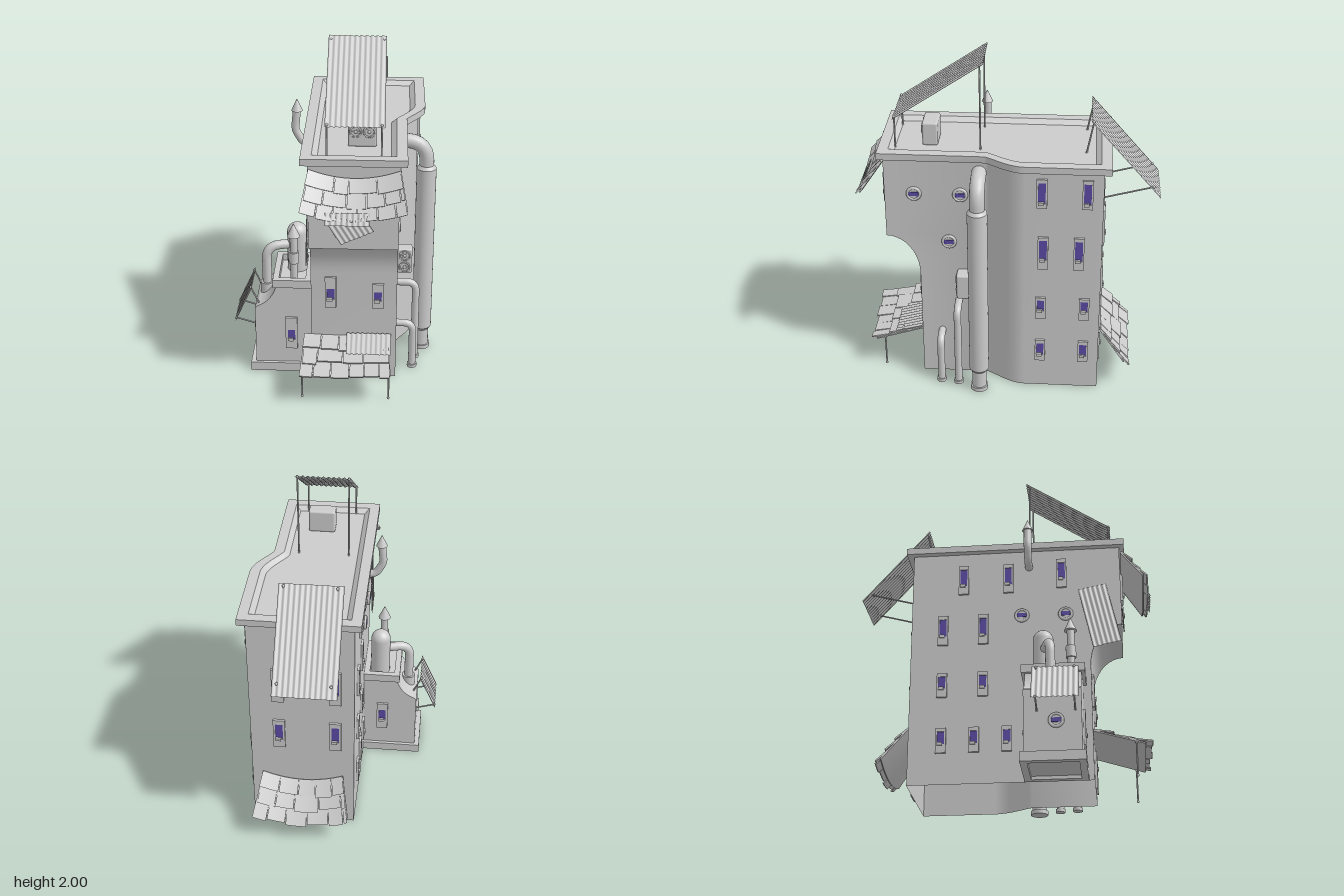
import * as THREE from 'three';
import { toCreasedNormals } from 'three/addons/utils/BufferGeometryUtils.js';
import { RoundedBoxGeometry } from 'three/addons/geometries/RoundedBoxGeometry.js';

const grey = new THREE.MeshStandardMaterial({ color: 0xcccccc });
const thin = new THREE.MeshStandardMaterial({ color: 0xcccccc, side: THREE.DoubleSide });
const glass = new THREE.MeshStandardMaterial({ color: 0x5b4aa5 });
const V = (x, y, z) => new THREE.Vector3(x, y, z);
const lerp = THREE.MathUtils.lerp;

function add(parent, name, geo, mat = grey, x = 0, y = 0, z = 0) {
  const m = new THREE.Mesh(geo, mat);
  m.name = name;
  m.position.set(x, y, z);
  parent.add(m);
  return m;
}
function group(parent, name, x = 0, y = 0, z = 0, ry = 0) {
  const g = new THREE.Group();
  g.name = name;
  g.position.set(x, y, z);
  g.rotation.y = ry;
  parent.add(g);
  return g;
}

// Skin a stack of closed loops of equal length
function loft(loops) {
  const n = loops[0].length, idx = [];
  for (let j = 0; j < loops.length - 1; j++)
    for (let i = 0; i < n; i++) {
      const a = j * n + i, b = j * n + (i + 1) % n;
      idx.push(a, b, b + n, a, b + n, a + n);
    }
  const g = new THREE.BufferGeometry().setFromPoints(loops.flat());
  g.setIndex(idx);
  return toCreasedNormals(g, 0.6);
}
// Building outline at height y, grown by o; the right wall swells out in an S
function outline(y, zFront, o = 0) {
  const p = [V(-0.13 - o, y, zFront + o), V(0.37 + o, y, zFront + o)];
  for (let i = 0; i <= 14; i++) {
    const t = i / 14;
    p.push(V(0.37 + o + 0.11 * THREE.MathUtils.smoothstep(Math.sqrt(t) * 0.5 + t * 0.5, 0, 1), y, 0.12 - 0.23 * t));
  }
  p.push(V(0.48 + o, y, -0.55 - o), V(-0.13 - o, y, -0.55 - o));
  return p;
}
function rod(parent, name, a, b, r = 0.005) {
  const m = add(parent, name, new THREE.CylinderGeometry(r, r, a.distanceTo(b), 8));
  m.position.copy(a).add(b).multiplyScalar(0.5);
  m.quaternion.setFromUnitVectors(V(0, 1, 0), b.clone().sub(a).normalize());
  for (const p of [a, b]) add(parent, name + 'End', new THREE.SphereGeometry(r * 1.7, 8, 6), grey, p.x, p.y, p.z);
}
function cyl(parent, name, r, y0, y1, x, z, rTop = r) {
  return add(parent, name, new THREE.CylinderGeometry(rTop, r, y1 - y0, 24), grey, x, (y0 + y1) / 2, z);
}
// Round pipe with rounded elbows at its inner points
function pipe(parent, name, pts, r, bend) {
  const path = new THREE.CurvePath();
  let from = pts[0];
  for (let i = 1; i < pts.length - 1; i++) {
    const c = pts[i];
    const p = c.clone().add(pts[i - 1].clone().sub(c).setLength(bend));
    const q = c.clone().add(pts[i + 1].clone().sub(c).setLength(bend));
    path.add(new THREE.LineCurve3(from, p));
    path.add(new THREE.QuadraticBezierCurve3(p, c, q));
    from = q;
  }
  path.add(new THREE.LineCurve3(from, pts[pts.length - 1]));
  add(parent, name, new THREE.TubeGeometry(path, 48, r, 16), thin);
}
// Corrugated sheet from edge centre a to edge centre b, ridges running a to b
function sheet(parent, name, w, a, b, across, amp = 0.004) {
  const up = b.clone().sub(a), len = up.length(), waves = Math.round(w / 0.03);
  const g = new THREE.PlaneGeometry(w, len, waves * 6, 1), p = g.attributes.position;
  for (let i = 0; i < p.count; i++) p.setZ(i, amp * Math.sin((p.getX(i) / w + 0.5) * waves * Math.PI * 2));
  g.computeVertexNormals();
  up.normalize();
  g.applyMatrix4(new THREE.Matrix4().makeBasis(across, up, across.clone().cross(up)));
  const c = a.clone().add(b).multiplyScalar(0.5);
  add(parent, name, g, thin, c.x, c.y, c.z);
}
// Sagging awning of overlapping shingles; a and b are [z, y] of wall and outer edge
function canopy(parent, name, cx, w0, w1, a, b, sag, seed) {
  const g = group(parent, name);
  const rnd = () => (seed = (seed * 16807) % 2147483647) / 2147483647;
  const dz = b[0] - a[0], dy = b[1] - a[1], len = Math.hypot(dz, dy);
  const slab = (part, u0, u1, v0, v1, lift0, lift1, t) => {
    const geo = new THREE.BoxGeometry(1, 1, 1, 8, 1, 1), p = geo.attributes.position;
    for (let i = 0; i < p.count; i++) {
      const u = lerp(u0, u1, p.getX(i) + 0.5), k = p.getZ(i) + 0.5, v = lerp(v0, v1, k);
      const h = lerp(lift0, lift1, k) + (p.getY(i) + 0.5) * t;
      p.setXYZ(i, cx + u * lerp(w0, w1, v) / 2,
        a[1] + dy * v + h * dz / len - sag * (1 - u * u), a[0] + dz * v - h * dy / len);
    }
    add(g, part, toCreasedNormals(geo, 0.5));
  };
  slab('awningBase', -1, 1, 0, 0.97, 0, 0, 0.008);
  for (let row = 2; row >= 0; row--) {
    let u = -1 + (row % 2) * 0.03;
    while (u < 0.95) {
      const e = Math.min(1, u + 0.3 + rnd() * 0.3), v0 = row / 3;
      slab('shingle', u, e - 0.02, v0, v0 + 0.36 + rnd() * 0.07, 0.004, 0.014 + rnd() * 0.008, 0.009);
      u = e;
    }
  }
}
// Tall framed window facing local +z; dy shifts the pane within the plate
function windowAt(parent, x, y, z, ry, w, h, pw, ph, dy = 0) {
  const g = group(parent, 'window', x, y, z, ry);
  const rect = (s, a, b, c) => s.moveTo(-a, c - b).lineTo(a, c - b).lineTo(a, c + b).lineTo(-a, c + b).closePath();
  const s = rect(new THREE.Shape(), w / 2, h / 2, 0);
  s.holes.push(rect(new THREE.Path(), pw / 2, ph / 2, dy));
  add(g, 'windowFrame', new THREE.ExtrudeGeometry(s, { depth: 0.014, bevelEnabled: false }));
  add(g, 'windowPane', new THREE.BoxGeometry(pw, ph, 0.012), glass, 0, dy, 0.002);
  add(g, 'windowSill', new THREE.BoxGeometry(pw * 0.75, 0.018, 0.022), grey, -pw * 0.12, dy - ph / 2, 0.011);
}
function roundWindow(parent, x, y, z, ry) {
  const g = group(parent, 'roundWindow', x, y, z, ry);
  add(g, 'roundFrame', new THREE.TorusGeometry(0.036, 0.009, 8, 28), grey, 0, 0, 0.006);
  add(g, 'roundPlate', new THREE.CylinderGeometry(0.036, 0.036, 0.012, 28), grey, 0, 0, 0.004).rotation.x = Math.PI / 2;
  add(g, 'roundPane', new THREE.BoxGeometry(0.055, 0.025, 0.01), glass, 0, 0, 0.009);
}
// Twin-fan unit facing +z
function fanUnit(parent, name, x, y, z, w, h, d, fans) {
  const g = group(parent, name, x, y, z);
  add(g, 'casing', new RoundedBoxGeometry(w, h, d, 3, 0.012));
  for (const [fx, fy] of fans) {
    const f = group(g, 'fan', fx, fy, d / 2);
    add(f, 'fanRing', new THREE.TorusGeometry(0.03, 0.005, 8, 24));
    add(f, 'fanHub', new THREE.SphereGeometry(0.01, 10, 8));
    for (let i = 0; i < 4; i++) add(f, 'fanBlade', new THREE.BoxGeometry(0.054, 0.007, 0.006)).rotation.z = i * Math.PI / 4;
  }
}
// Flat rectangular ring with an open centre
function rim(parent, name, x0, x1, z0, z1, y0, y1, t) {
  const s = new THREE.Shape().moveTo(x0, -z1).lineTo(x1, -z1).lineTo(x1, -z0).lineTo(x0, -z0).closePath();
  s.holes.push(new THREE.Path().moveTo(x0 + t, -z1 + t).lineTo(x1 - t, -z1 + t).lineTo(x1 - t, -z0 - t).lineTo(x0 + t, -z0 - t).closePath());
  const g = new THREE.ExtrudeGeometry(s, { depth: y1 - y0, bevelEnabled: false });
  add(parent, name, g.rotateX(-Math.PI / 2), grey, 0, y0, 0);
}

export function createModel() {
  const root = new THREE.Group();
  root.name = 'building';

  // Walls: the upper front overhangs on a concave cove
  const cove = [[0, 0.51], [0.7, 0.51]];
  for (let i = 1; i <= 10; i++) {
    const t = i / 10 * Math.PI / 2;
    cove.push([0.7 + 0.25 * Math.sin(t), 0.7 - 0.19 * Math.cos(t)]);
  }
  cove.push([1.47, 0.7]);
  add(root, 'walls', loft(cove.map(([y, z]) => outline(y, z))), thin);

  // Roof slab with a sloped inner parapet
  add(root, 'parapet', loft([[1.46, -0.01], [1.46, 0.04], [1.5, 0.04], [1.5, -0.02], [1.475, -0.05]].map(([y, o]) => outline(y, 0.69, o))), thin);
  const floor = new THREE.Shape(outline(0, 0.69, -0.05).map(p => new THREE.Vector2(p.x, -p.z)));
  add(root, 'roofFloor', new THREE.ShapeGeometry(floor).rotateX(-Math.PI / 2), thin, 0, 1.475, 0);

  // Windows on every wall
  const R = Math.PI / 2;
  for (const z of [-0.205, -0.46]) {
    windowAt(root, 0.48, 1.32, z, R, 0.06, 0.18, 0.042, 0.13, 0.005);
    windowAt(root, 0.48, 0.935, z + (z < -0.4 ? 0.04 : -0.01), R, 0.06, 0.21, 0.044, 0.13, 0.02);
    windowAt(root, 0.48, 0.56, z, R, 0.06, 0.145, 0.042, 0.07, 0.02);
    windowAt(root, 0.48, 0.26, z, R, 0.06, 0.145, 0.042, 0.08, 0.01);
  }
  for (const [z, y] of [[0.53, 1.235], [0.265, 1.235], [0.335, 0.925]]) roundWindow(root, 0.37, y, z, R);
  for (const [z, y] of [[-0.24, 1.28], [0.03, 1.28], [0.35, 1.3], [-0.36, 0.95], [-0.12, 0.95], [-0.36, 0.6], [-0.12, 0.6], [-0.36, 0.26], [-0.17, 0.26], [0.02, 0.26]])
    windowAt(root, -0.13, y, z, -R, 0.06, y > 0.9 ? 0.19 : 0.15, 0.042, y > 0.9 ? 0.11 : 0.075, 0.015);
  for (const z of [0.11, 0.37]) roundWindow(root, -0.13, 1.03, z, -R);
  for (const x of [-0.02, 0.31]) {
    windowAt(root, x, 1.03, -0.55, Math.PI, 0.07, 0.23, 0.045, 0.12, 0.02);
    windowAt(root, x, 0.675, -0.55, Math.PI, 0.07, 0.2, 0.045, 0.11, 0.015);
  }
  windowAt(root, -0.015, 0.57, 0.51, 0, 0.066, 0.2, 0.044, 0.07, -0.01);
  windowAt(root, 0.26, 0.55, 0.51, 0, 0.066, 0.16, 0.044, 0.06, 0);
  for (const x of [0, 0.28]) windowAt(root, x, 1.24, 0.7, 0, 0.066, 0.18, 0.044, 0.09, 0);
  // Front and back doors
  windowAt(root, 0.08, 0.11, 0.51, 0, 0.13, 0.22, 0.04, 0.06, 0.05);
  windowAt(root, 0.15, 0.11, -0.55, Math.PI, 0.13, 0.2, 0.04, 0.08, 0.03);

  // Side annex with shoulder, plinth and top rim
  const annex = group(root, 'annex');
  const side = new THREE.Shape().moveTo(-0.13, 0.02).lineTo(-0.465, 0.02).lineTo(-0.465, 0.42)
    .lineTo(-0.45, 0.435).quadraticCurveTo(-0.36, 0.47, -0.335, 0.58).lineTo(-0.13, 0.58);
  add(annex, 'annexBody', new THREE.ExtrudeGeometry(side, { depth: 0.32, bevelEnabled: false, curveSegments: 8 }), grey, 0, 0, 0.14);
  rim(annex, 'annexPlinth', -0.495, -0.13, 0.12, 0.48, 0, 0.055, 0.04);
  rim(annex, 'annexTopRim', -0.355, -0.13, 0.12, 0.48, 0.57, 0.62, 0.035);
  windowAt(annex, -0.25, 0.26, 0.46, 0, 0.07, 0.21, 0.044, 0.065, -0.01);
  windowAt(annex, -0.25, 0.28, 0.14, Math.PI, 0.07, 0.2, 0.044, 0.08, 0.01);
  roundWindow(annex, -0.465, 0.235, 0.32, -R);

  // Annex tank, elbow pipe and capped vent
  cyl(annex, 'tank', 0.06, 0.57, 0.82, -0.225, 0.24);
  add(annex, 'tankDome', new THREE.SphereGeometry(0.06, 24, 16), grey, -0.225, 0.82, 0.24);
  pipe(annex, 'elbowPipe', [V(-0.405, 0.45, 0.29), V(-0.405, 0.745, 0.29), V(-0.225, 0.745, 0.24)], 0.028, 0.08);
  cyl(annex, 'elbowPipeFoot', 0.04, 0.42, 0.51, -0.405, 0.29);
  cyl(annex, 'ventPipe', 0.022, 0.57, 0.88, -0.235, 0.4);
  cyl(annex, 'ventCollar', 0.03, 0.7, 0.77, -0.235, 0.4);
  cyl(annex, 'ventCap', 0.038, 0.87, 0.95, -0.235, 0.4, 0.002);

  // Crooked vent on the left wall
  pipe(root, 'crookedVent', [V(-0.12, 1.35, 0.155), V(-0.19, 1.36, 0.155), V(-0.235, 1.44, 0.155), V(-0.222, 1.57, 0.155)], 0.023, 0.03);
  cyl(root, 'crookedVentCap', 0.033, 1.555, 1.625, -0.222, 0.155, 0.002);

  // Drain pipes on the right wall
  pipe(root, 'mainPipe', [V(0.53, 0.02, 0.155), V(0.53, 1.38, 0.155), V(0.36, 1.38, 0.155)], 0.043, 0.13);
  cyl(root, 'mainPipeSleeve', 0.058, 0.15, 1.21, 0.53, 0.155);
  cyl(root, 'sleeveTop', 0.058, 1.21, 1.23, 0.53, 0.155, 0.043);
  cyl(root, 'sleeveBottom', 0.043, 0.13, 0.15, 0.53, 0.155, 0.058);
  cyl(root, 'mainPipeFoot', 0.052, 0, 0.025, 0.53, 0.155);
  for (const [x, z, y] of [[0.485, 0.285, 0.52], [0.47, 0.39, 0.3]]) {
    pipe(root, 'smallPipe', [V(x, 0, z), V(x, y, z), V(0.36, y, z)], 0.022, 0.06);
    cyl(root, 'smallPipeFoot', 0.029, 0, 0.02, x, z);
  }

  // Fan units
  fanUnit(root, 'roofFanUnit', 0.16, 1.545, 0.445, 0.16, 0.14, 0.09, [[-0.038, 0.02], [0.038, 0.02]]);
  fanUnit(root, 'wallFanUnit', 0.413, 0.66, 0.25, 0.09, 0.16, 0.08, [[0, 0.038], [0, -0.038]]);

  // Corrugated roof sheets on poles
  const X = V(1, 0, 0);
  sheet(root, 'frontRoofSheet', 0.325, V(0.123, 1.655, 0.65), V(0.123, 2, 0.135), X);
  sheet(root, 'backRoofSheet', 0.36, V(0.115, 1.21, -0.875), V(0.115, 1.675, -0.47), X);
  for (const s of [-1, 1]) {
    const x = 0.12 + s * 0.148;
    rod(root, 'sheetPole', V(x, 1.47, 0.64), V(x, 1.665, 0.64));
    rod(root, 'sheetPole', V(x, 1.47, 0.155), V(x, 1.985, 0.155));
    rod(root, 'sheetPole', V(x, 1.47, -0.445), V(x, 1.665, -0.482));
    rod(root, 'sheetStay', V(x, 1.19, -0.55), V(x, 1.268, -0.835));
  }
  // Small side sheet on the annex
  sheet(root, 'annexSheet', 0.26, V(-0.585, 0.325, 0.32), V(-0.485, 0.545, 0.32), V(0, 0, 1));
  for (const z of [0.215, 0.425]) {
    rod(root, 'annexSheetStay', V(-0.58, 0.332, z), V(-0.46, 0.295, z));
    rod(root, 'annexSheetStay', V(-0.49, 0.54, z), V(-0.44, 0.43, z));
  }
  // Patches nailed to the front and left walls
  sheet(root, 'frontPatch', 0.2, V(0.143, 1.025, 0.712), V(0.067, 1.145, 0.706), V(0.9, 0.42, 0).normalize());
  sheet(root, 'leftPatch', 0.17, V(-0.145, 0.82, 0.61), V(-0.138, 1.2, 0.53), V(0, 0.2, 0.98).normalize());

  // Shingled awnings
  canopy(root, 'upperFrontAwning', 0.125, 0.5, 0.58, [0.705, 1.43], [0.835, 1.245], 0.05, 11);
  sheet(root, 'awningPatch', 0.24, V(0.09, 1.18, 0.875), V(0.09, 1.24, 0.84), X);
  canopy(root, 'lowerFrontAwning', 0.08, 0.5, 0.52, [0.51, 0.275], [0.81, 0.185], 0.008, 29);
  sheet(root, 'lowerAwningPatch', 0.26, V(0.21, 0.255, 0.68), V(0.21, 0.3, 0.52), X);
  for (const x of [-0.17, 0.33]) rod(root, 'awningPost', V(x, 0.008, 0.75), V(x, 0.2, 0.75));
  const back = group(root, 'backAwningMount', 0, 0, 0, Math.PI);
  canopy(back, 'backAwning', -0.175, 0.48, 0.57, [0.555, 0.37], [0.71, 0.165], 0.05, 53);
  return root;
}
